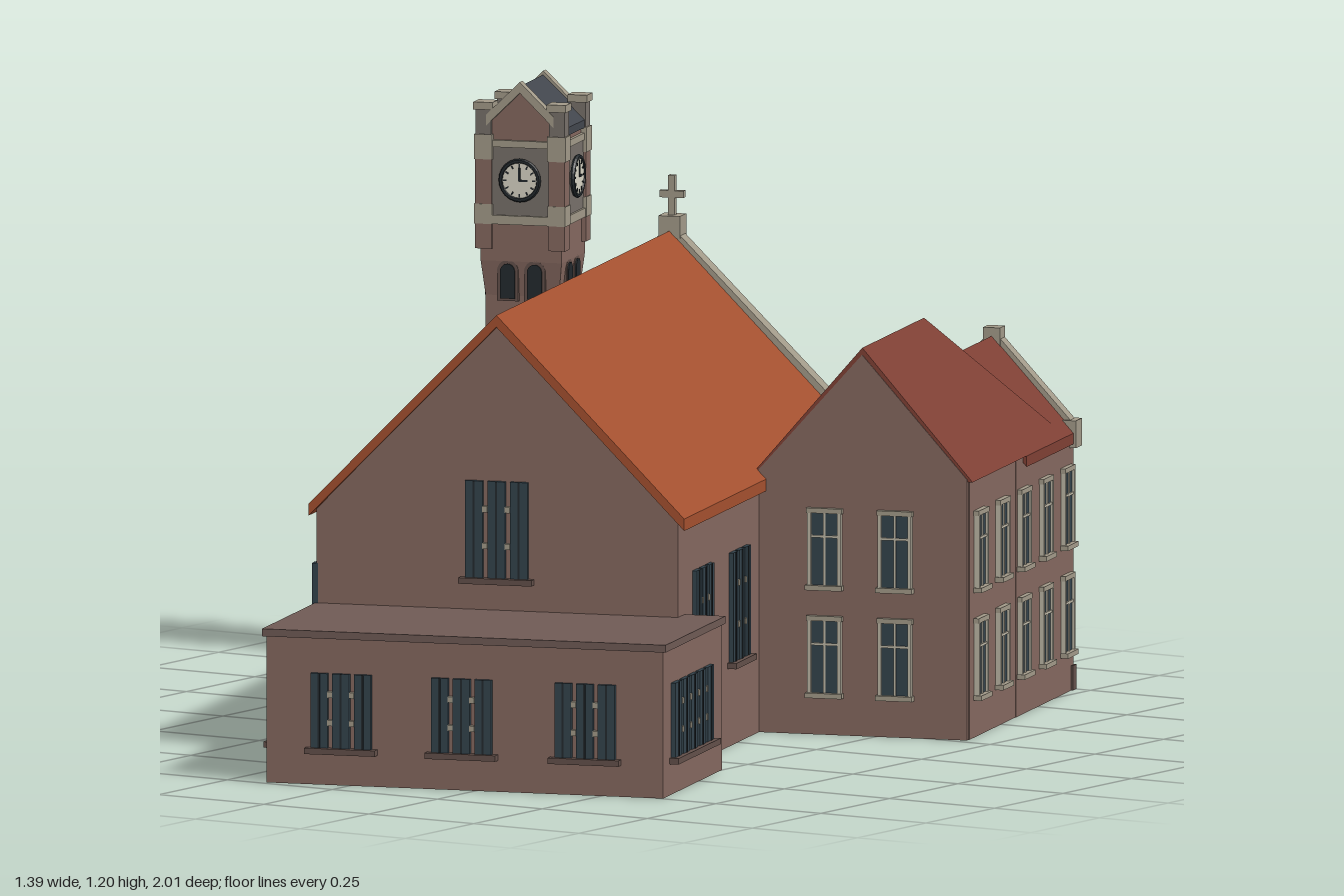
import * as THREE from 'three';
import { ConvexGeometry } from 'three/addons/geometries/ConvexGeometry.js';

const mat = (color) => new THREE.MeshStandardMaterial({ color, flatShading: true });
const M = {
  wall: mat(0x84685f), base: mat(0x63504a), flat: mat(0x6f5a55), roof: mat(0xa4502f), wingRoof: mat(0x7f4035),
  stone: mat(0xa29a89), panel: mat(0x77706a), glass: mat(0x33434c), dark: mat(0x23292d), frame: mat(0xbdb7a6),
  door: mat(0xa5391f), slate: mat(0x42464d), dial: mat(0xd8d4c4),
};
const FRONT = 0, RIGHT = Math.PI / 2, LEFT = -Math.PI / 2, BACK = Math.PI;

function add(parent, name, geo, m, x = 0, y = 0, z = 0) {
  const mesh = new THREE.Mesh(geo, m);
  mesh.name = name;
  mesh.position.set(x, y, z);
  parent.add(mesh);
  return mesh;
}
// box given by its centre in x and z and its bottom in y
const box = (p, name, m, x, y, z, w, h, d) => add(p, name, new THREE.BoxGeometry(w, h, d), m, x, y + h / 2, z);
// group on a wall, local +z pointing outward
function at(p, name, x, y, z, turn) {
  const g = new THREE.Group();
  g.name = name;
  g.position.set(x, y, z);
  g.rotation.y = turn;
  p.add(g);
  return g;
}
const shapeOf = (pts) => new THREE.Shape(pts.map(([x, y]) => new THREE.Vector2(x, y)));
const slab = (p, name, shape, m, x, z0, z1) =>
  add(p, name, new THREE.ExtrudeGeometry(shape, { depth: z1 - z0, bevelEnabled: false, curveSegments: 8 }), m, x, 0, z0);
const gable = (half, eave, peak, bottom = 0) =>
  shapeOf([[-half, bottom], [half, bottom], [half, eave], [0, peak], [-half, eave]]);
const chevron = (half, eave, peak, t) =>
  shapeOf([[-half, eave - t], [0, peak - t], [half, eave - t], [half, eave], [0, peak], [-half, eave]]);
function arch(w, h, y = 0, path = new THREE.Shape()) {
  const r = w / 2;
  path.moveTo(-r, y).lineTo(r, y).lineTo(r, y + h - r).absarc(0, y + h - r, r, 0, Math.PI, false).lineTo(-r, y);
  return path;
}

// tall panes with posts between them
function paneWindow(p, x, y, z, turn, w, h, n) {
  const g = at(p, 'paneWindow', x, y, z, turn), step = w / n;
  for (let i = 0; i < n; i++) {
    const px = (i - (n - 1) / 2) * step;
    box(g, 'pane', M.glass, px, 0, 0.003, step * 0.78, h, 0.012);
    box(g, 'paneBar', M.dark, px, 0, 0.009, 0.004, h, 0.004);
    if (i < n - 1) for (const k of [0.3, 0.68]) box(g, 'stud', M.stone, px + step / 2, h * k, 0.004, 0.01, 0.012, 0.014);
  }
  box(g, 'sill', M.base, 0, -0.012, 0.006, w + 0.012, 0.012, 0.026);
}
// framed sash window with cross bars
function sash(p, x, y, z, turn, w = 0.062, h = 0.145) {
  const g = at(p, 'sashWindow', x, y, z, turn);
  box(g, 'glass', M.glass, 0, 0, 0.002, w, h, 0.008);
  for (const s of [-1, 1]) box(g, 'jamb', M.frame, s * w / 2, 0, 0.004, 0.007, h, 0.014);
  box(g, 'mullion', M.frame, 0, 0, 0.004, 0.005, h, 0.01);
  box(g, 'transom', M.frame, 0, h * 0.66, 0.004, w, 0.005, 0.01);
  box(g, 'lintel', M.stone, 0, h, 0.004, w + 0.012, 0.01, 0.014);
  box(g, 'sill', M.stone, 0, -0.01, 0.006, w + 0.014, 0.01, 0.022);
}
function archWindow(p, x, y, z, turn, w, h) {
  const g = at(p, 'archedWindow', x, y, z, turn);
  slab(g, 'surround', arch(w + 0.014, h + 0.012, -0.005), M.base, 0, -0.004, 0.005);
  slab(g, 'glass', arch(w, h), M.dark, 0, 0, 0.008);
}
function clock(p, z) {
  const y = 1.0;
  add(p, 'dial', new THREE.CylinderGeometry(0.038, 0.038, 0.008, 24).rotateX(Math.PI / 2), M.dial, 0, y, z);
  add(p, 'dialRing', new THREE.TorusGeometry(0.039, 0.005, 6, 24), M.dark, 0, y, z + 0.002);
  for (let i = 0; i < 12; i++) {
    const a = i * Math.PI / 6;
    const tick = box(p, 'hourMark', M.dark, 0, 0, 0, 0.003, 0.007, 0.003);
    tick.position.set(Math.sin(a) * 0.03, y + Math.cos(a) * 0.03, z + 0.004);
    tick.rotation.z = -a;
  }
  box(p, 'minuteHand', M.dark, 0, y, z + 0.005, 0.004, 0.026, 0.003);
  box(p, 'hourHand', M.dark, 0.008, y - 0.002, z + 0.005, 0.018, 0.004, 0.003);
}

function buildNave(b) {
  const c = -0.076;
  slab(b, 'naveWalls', gable(0.375, 0.5, 0.885), M.wall, c, -0.74, 0.52);
  slab(b, 'naveRoof', chevron(0.39, 0.51, 0.905, 0.024), M.roof, c, -0.72, 0.528);
  box(b, 'sidePlinth', M.base, -0.44, 0, -0.085, 0.04, 0.152, 1.21);
  paneWindow(b, c, 0.375, 0.52, FRONT, 0.14, 0.195, 3);
  for (let i = 0; i < 5; i++) paneWindow(b, -0.451, 0.165, -0.427 + i * 0.218, LEFT, 0.165, 0.225, 3);
  for (const z of [0.092, 0.353]) paneWindow(b, 0.299, 0.17, z, RIGHT, 0.136, 0.22, 3);
  // entrance gable with coping, cross and tall windows
  slab(b, 'gableCoping', chevron(0.385, 0.535, 0.918, 0.04), M.stone, c, -0.752, -0.715);
  box(b, 'kneeler', M.stone, 0.285, 0.47, -0.735, 0.045, 0.09, 0.05);
  box(b, 'crossBase', M.stone, c, 0.89, -0.735, 0.045, 0.045, 0.045);
  box(b, 'crossPost', M.stone, c, 0.935, -0.735, 0.014, 0.08, 0.014);
  box(b, 'crossArm', M.stone, c, 0.97, -0.735, 0.05, 0.014, 0.014);
  box(b, 'gablePlinth', M.base, c, 0, -0.74, 0.74, 0.06, 0.02);
  for (const s of [-1, 1]) paneWindow(b, c + s * 0.047, 0.4, -0.74, BACK, 0.08, 0.22, 2);
  for (const s of [-1, 1]) archWindow(b, c + s * 0.018, 0.69, -0.74, BACK, 0.026, 0.07);
  box(b, 'gableLintel', M.stone, c, 0.77, -0.742, 0.09, 0.012, 0.014);
  for (const x of [-0.235, 0.08]) sash(b, x, 0.13, -0.74, BACK, 0.045, 0.1);
}

function buildHall(b) {
  box(b, 'hallWalls', M.wall, -0.035, 0, 0.686, 0.824, 0.3, 0.42);
  box(b, 'hallRoof', M.flat, -0.035, 0.295, 0.688, 0.838, 0.015, 0.43);
  for (const x of [-0.29, -0.04, 0.216]) paneWindow(b, x, 0.075, 0.896, FRONT, 0.135, 0.15, 3);
  paneWindow(b, 0.377, 0.075, 0.7, RIGHT, 0.29, 0.15, 5);
  paneWindow(b, -0.447, 0.075, 0.7, LEFT, 0.29, 0.15, 5);
}

function buildWing(b) {
  box(b, 'wingWalls', M.wall, 0.515, 0, -0.4, 0.436, 0.525, 0.66);
  slab(b, 'wingFrontGable', gable(0.218, 0.525, 0.768), M.wall, 0.513, -0.1, -0.06);
  const e = 0.52, x0 = 0.285, x1 = 0.742;
  const hip = [[x0, e, -0.062], [x1, e, -0.062], [x1, e, -0.738], [x0, e, -0.738], [0.513, 0.782, -0.062], [0.513, 0.782, -0.505]];
  add(b, 'wingRoof', new ConvexGeometry(hip.map((v) => new THREE.Vector3(...v))), M.wingRoof);
  // lower rear gable
  slab(b, 'rearGableWalls', gable(0.164, 0.525, 0.69), M.wall, 0.57, -0.815, -0.4);
  slab(b, 'rearGableRoof', chevron(0.172, 0.52, 0.708, 0.022), M.wingRoof, 0.57, -0.8, -0.45);
  slab(b, 'rearCoping', chevron(0.172, 0.535, 0.722, 0.034), M.stone, 0.57, -0.826, -0.795);
  box(b, 'rearFinial', M.stone, 0.57, 0.68, -0.81, 0.036, 0.045, 0.036);
  for (const s of [-1, 1]) box(b, 'rearKneeler', M.stone, 0.57 + s * 0.158, 0.49, -0.808, 0.038, 0.055, 0.045);
  box(b, 'rearPlinth', M.base, 0.57, 0, -0.81, 0.335, 0.05, 0.026);
  box(b, 'rearBand', M.stone, 0.57, 0.48, -0.816, 0.29, 0.012, 0.01);
  for (const y of [0.085, 0.302]) {
    for (let i = 0; i < 5; i++) sash(b, 0.733, y, -0.138 - i * 0.155, RIGHT);
    for (const x of [0.437, 0.583]) sash(b, x, y, -0.06, FRONT);
    for (const x of [0.5, 0.64]) sash(b, x, y, -0.815, BACK, 0.07, 0.155);
  }
  for (const s of [-1, 0, 1]) sash(b, 0.57 + s * 0.04, 0.55, -0.815, BACK, 0.026, s ? 0.045 : 0.07);
  // side door in the recess
  box(b, 'sideDoor', M.door, 0.355, 0.01, -0.733, 0.06, 0.15, 0.012);
  box(b, 'sideDoorLintel', M.stone, 0.355, 0.16, -0.733, 0.075, 0.014, 0.02);
  sash(b, 0.355, 0.28, -0.73, BACK, 0.06, 0.13);
}

function buildTower(b) {
  const t = at(b, 'tower', -0.375, 0, -0.768, 0);
  box(t, 'towerPlinth', M.base, 0, 0, 0, 0.16, 0.06, 0.16);
  box(t, 'towerShaft', M.wall, 0, 0, 0, 0.152, 0.84, 0.152);
  box(t, 'belfry', M.wall, 0, 0.835, 0, 0.168, 0.27, 0.168);
  const flare = new THREE.CylinderGeometry(0.084 * Math.SQRT2, 0.076 * Math.SQRT2, 0.07, 4).rotateY(Math.PI / 4);
  add(t, 'corbelling', flare, M.wall, 0, 0.8, 0);
  for (let k = 0; k < 4; k++) {
    const f = at(t, 'towerFace', 0, 0, 0, k * Math.PI / 2);
    for (const s of [-1, 1]) archWindow(f, s * 0.028, 0.76, 0.079, 0, 0.03, 0.07);
    box(f, 'clockPanel', M.panel, 0, 0.925, 0.084, 0.125, 0.145, 0.008);
    box(f, 'clockSill', M.stone, 0, 0.91, 0.084, 0.15, 0.018, 0.018);
    box(f, 'clockLintel', M.stone, 0, 1.065, 0.085, 0.13, 0.014, 0.012);
    clock(f, 0.092);
    // corner pier with cap
    for (const [m, y, w, h] of [[M.wall, 0.86, 0.034, 0.18], [M.stone, 0.91, 0.037, 0.04], [M.stone, 1.04, 0.038, 0.05], [M.panel, 1.09, 0.032, 0.05], [M.stone, 1.14, 0.04, 0.015]])
      box(f, 'cornerPier', m, 0.076, y, 0.076, w, h, w);
  }
  slab(t, 'belfryGable', gable(0.084, 1.1, 1.18, 1.08), M.wall, 0, -0.085, 0.085);
  slab(t, 'belfryRoof', chevron(0.09, 1.105, 1.19, 0.016), M.slate, 0, -0.082, 0.082);
  for (const z of [-0.094, 0.074]) slab(t, 'belfryCoping', chevron(0.07, 1.13, 1.198, 0.022), M.stone, 0, z, z + 0.02);
  // shaft openings on the two exposed sides
  for (const turn of [BACK, LEFT]) {
    const f = at(t, 'shaftOpenings', 0, 0, 0, turn);
    for (const s of [-1, 1]) {
      archWindow(f, s * 0.025, 0.62, 0.076, 0, 0.03, 0.12);
      archWindow(f, s * 0.025, 0.15, 0.076, 0, 0.03, 0.11);
    }
    for (const y of [0.6, 0.255, 0.135]) box(f, 'stoneBand', M.stone, 0, y, 0.076, 0.11, 0.012, 0.016);
    sash(f, 0, 0.42, 0.076, 0, 0.07, 0.1);
  }
}

function buildPorch(b) {
  const p = at(b, 'porch', -0.066, 0, -0.74, BACK);
  const front = gable(0.098, 0.26, 0.37);
  front.holes.push(arch(0.13, 0.225, 0.012, new THREE.Path()));
  slab(p, 'porchWalls', front, M.wall, 0, 0, 0.1);
  const ring = arch(0.16, 0.245, 0.005);
  ring.holes.push(arch(0.126, 0.222, 0.012, new THREE.Path()));
  slab(p, 'doorArch', ring, M.stone, 0, 0.09, 0.112);
  slab(p, 'archGlass', arch(0.13, 0.225), M.dark, 0, 0.03, 0.05);
  box(p, 'doors', M.door, 0, 0.01, 0.055, 0.13, 0.13, 0.012);
  box(p, 'doorSeam', M.dark, 0, 0.01, 0.062, 0.004, 0.13, 0.003);
  box(p, 'doorLintel', M.stone, 0, 0.14, 0.058, 0.13, 0.012, 0.016);
  slab(p, 'porchRoof', chevron(0.125, 0.255, 0.39, 0.02), M.roof, 0, 0, 0.09);
  slab(p, 'porchCoping', chevron(0.11, 0.28, 0.4, 0.032), M.stone, 0, 0.085, 0.112);
  box(p, 'porchFinial', M.stone, 0, 0.38, 0.098, 0.024, 0.055, 0.024);
  box(p, 'doorStep', M.stone, 0, 0, 0.07, 0.17, 0.012, 0.1);
  for (const s of [-1, 1]) {
    box(p, 'porchPier', M.stone, s * 0.1, 0, 0.095, 0.034, 0.14, 0.045);
    box(p, 'pierShaft', M.wall, s * 0.1, 0.14, 0.092, 0.028, 0.11, 0.036);
    box(p, 'pierCap', M.stone, s * 0.1, 0.245, 0.092, 0.038, 0.05, 0.042);
  }
}

function buildTurret(b) {
  const t = at(b, 'turret', 0.195, 0, -0.745, BACK);
  const ringOf = (name, m, r, y, h) => add(t, name, new THREE.CylinderGeometry(r, r, h, 16), m, 0, y + h / 2, 0);
  ringOf('turretWall', M.wall, 0.085, 0, 0.385);
  ringOf('turretBase', M.base, 0.092, 0, 0.05);
  for (const y of [0.05, 0.2, 0.245, 0.365]) ringOf('turretBand', M.stone, 0.09, y, 0.016);
  for (const a of [-0.9, 0, 0.9])
    for (const [y, h] of [[0.1, 0.09], [0.272, 0.085]])
      sash(t, Math.sin(a) * 0.085, y, Math.cos(a) * 0.085, a, 0.036, h);
  add(t, 'turretRoof', new THREE.ConeGeometry(0.1, 0.075, 8).rotateY(Math.PI / 8), M.wingRoof, 0, 0.418, 0);
}

export function createModel() {
  const root = new THREE.Group();
  root.name = 'church';
  const b = at(root, 'building', 0, 0, 0, THREE.MathUtils.degToRad(17));
  for (const build of [buildNave, buildHall, buildWing, buildTower, buildPorch, buildTurret]) build(b);
  return root;
}
